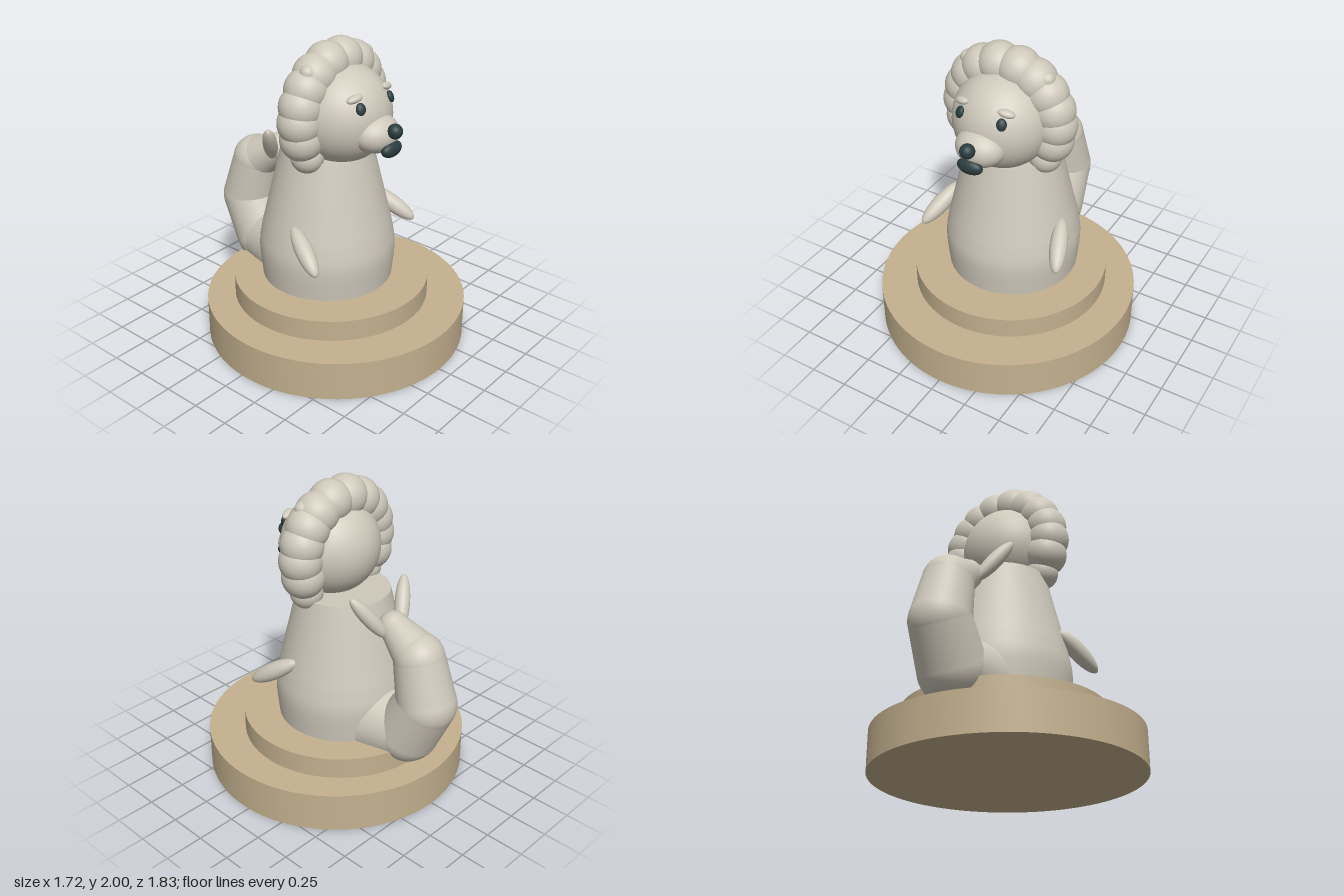
import * as THREE from 'three';

export function createModel() {
  const model = new THREE.Group();
  const material = (name, color) => {
    const m = new THREE.MeshStandardMaterial({ color });
    m.name = name;
    return m;
  };
  const fur = material('warm grey', 0xcfc9bb);
  const tan = material('tan', 0xc4b18f);
  const dark = material('dark teal', 0x2b3d3f);
  const UP = new THREE.Vector3(0, 1, 0);
  const v = (x, y, z) => new THREE.Vector3(x, y, z);

  const add = (name, geometry, mat, pos, parent = model) => {
    const mesh = new THREE.Mesh(geometry, mat);
    mesh.name = name;
    mesh.position.copy(pos);
    parent.add(mesh);
    return mesh;
  };
  const ball = (name, mat, pos, rx, ry = rx, rz = rx, parent = model) =>
    add(name, new THREE.SphereGeometry(1, 40, 24).scale(rx, ry, rz), mat, pos, parent);
  // ellipsoid whose long axis follows dir
  const lobe = (name, pos, dir, radius, half) => {
    const m = ball(name, fur, pos, radius, half, radius);
    m.quaternion.setFromUnitVectors(UP, dir.normalize());
    return m;
  };

  // Two stacked pedestal discs
  add('pedestalLower', new THREE.CylinderGeometry(0.858, 0.858, 0.26, 96), tan, v(0, 0.13, 0.055));
  add('pedestalUpper', new THREE.CylinderGeometry(0.644, 0.644, 0.15, 96), tan, v(0, 0.325, 0.013));

  // Tapered body with a flat neck
  const profile = new THREE.SplineCurve([
    [0.43, 0.4], [0.446, 0.6], [0.43, 0.73], [0.393, 0.89], [0.296, 1.29],
  ].map(([r, y]) => new THREE.Vector2(r, y))).getPoints(24);
  add('body', new THREE.LatheGeometry(profile, 64), fur, v(0, 0, -0.02));
  add('neckCap', new THREE.CircleGeometry(0.296, 64).rotateX(-Math.PI / 2), fur, v(0, 1.29, -0.02));

  // Head, muzzle, nose and mouth
  const headCentre = v(0, 1.55, 0.097);
  ball('head', fur, headCentre, 0.317);
  ball('muzzle', fur, v(0, 1.48, 0.36), 0.16, 0.122, 0.14);
  ball('nose', dark, v(0, 1.527, 0.508), 0.047);
  ball('mouth', dark, v(0, 1.408, 0.485), 0.086, 0.05, 0.043);

  for (const s of [1, -1]) {
    const side = s > 0 ? 'left' : 'right';

    // Eyes lie flat against the head
    const eyePos = v(s * 0.143, 1.672, 0.36);
    const eye = ball(side + 'Eye', dark, eyePos, 0.031, 0.038, 0.02);
    eye.lookAt(eyePos.clone().multiplyScalar(2).sub(headCentre));
    const brow = ball(side + 'Brow', fur, v(s * 0.152, 1.728, 0.318), 0.054, 0.024, 0.03);
    brow.rotation.set(0, s * 0.35, -s * 0.22);

    // Mane: overlapping curls around the head
    [78, 56, 37, 18, 0, -20].forEach((deg, i) => {
      const a = THREE.MathUtils.degToRad(deg);
      ball(`${side}ManeCurl${i + 1}`, fur,
        v(s * 0.32 * Math.cos(a), 1.553 + 0.32 * Math.sin(a), 0.033), 0.137);
    });
    ball(side + 'ManeTip', fur, v(s * 0.265, 1.322, 0.045), 0.105);
    ball(side + 'Ear', fur, v(s * 0.27, 1.862, 0.06), 0.05);

    // Arms and tail flukes
    lobe(side + 'Arm', v(s * 0.443, 0.777, 0.173), v(s * 0.1, -0.17, 0.25), 0.057, 0.185);
    lobe(side + 'TailFluke', v(s * 0.152, 1.247, -0.375), v(s * 0.17, 0.26, 0.13), 0.048, 0.18);
  }

  // Curled tail: tapered segments with rounded joints, as [z, y, radius]
  const tail = new THREE.Group();
  tail.name = 'tail';
  model.add(tail);
  const joints = [
    [-0.33, 0.47, 0.27], [-0.58, 0.475, 0.21], [-0.722, 0.73, 0.19],
    [-0.65, 1.025, 0.16], [-0.44, 1.165, 0.095],
  ];
  joints.forEach(([z, y, r], i) => {
    const p = v(0, y, z);
    if (i > 0) ball('tailJoint' + i, fur, p, r, r, r, tail);
    if (i === joints.length - 1) return;
    const [z2, y2, r2] = joints[i + 1];
    const q = v(0, y2, z2);
    const segment = add('tailSegment' + (i + 1),
      new THREE.CylinderGeometry(r2, r, p.distanceTo(q), 40, 1, i > 0),
      fur, p.clone().add(q).multiplyScalar(0.5), tail);
    segment.quaternion.setFromUnitVectors(UP, q.clone().sub(p).normalize());
  });

  return model;
}
